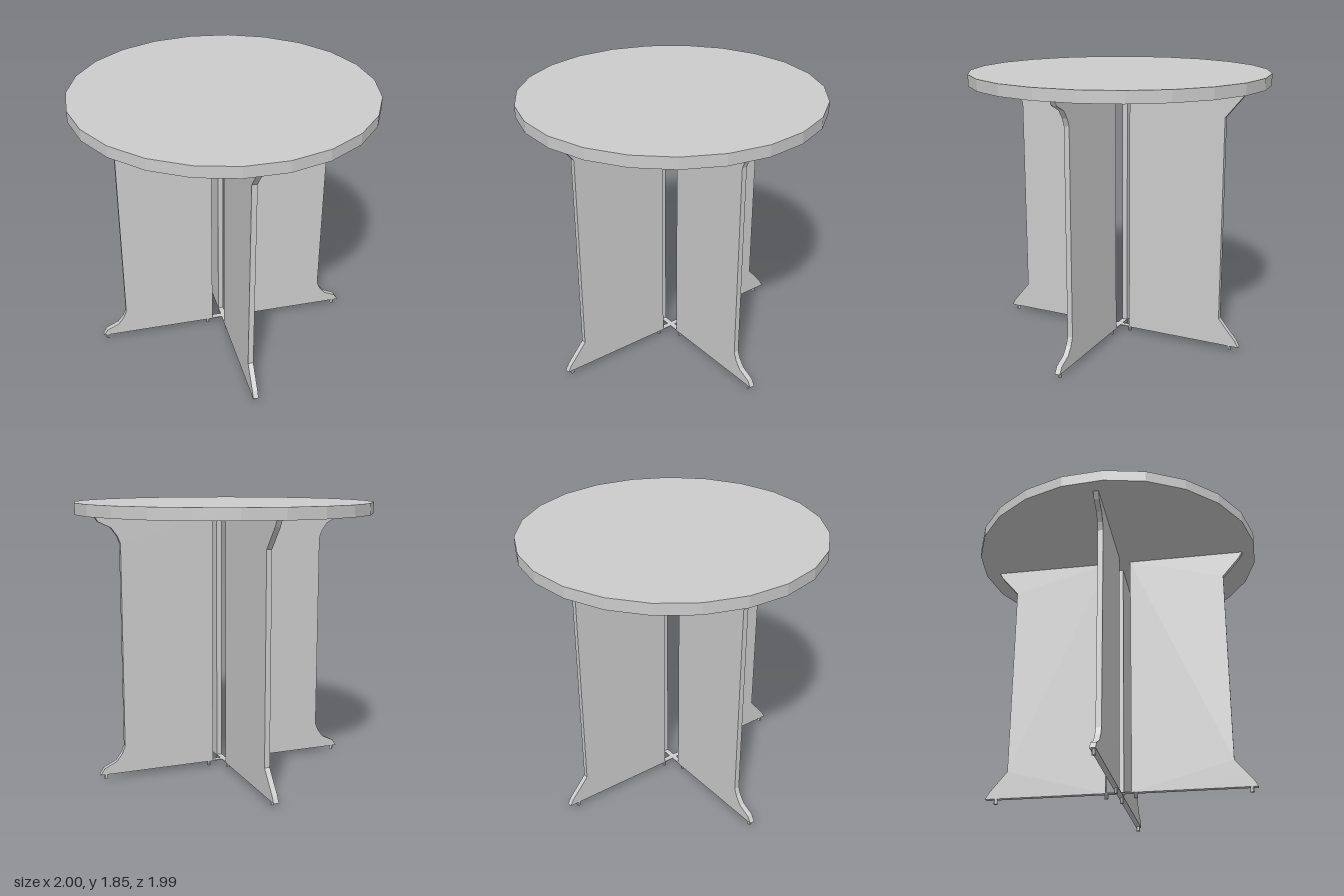
import * as THREE from 'three';

const BASE = 0.033, TOP = 1.775, THICK = 0.036;

// Upright panel: inner edge straight, outer edge flared at floor and top.
function panelGeometry(inner, flare) {
  const upper = flare.map(([r, d]) => [r, TOP - d]);
  const lower = flare.map(([r, d]) => [r, BASE + d]).reverse();
  const outline = [[inner, BASE], ...lower.reverse(), ...upper.reverse(), [inner, TOP]];
  const shape = new THREE.Shape(outline.map(([x, y]) => new THREE.Vector2(x, y)));
  const geo = new THREE.ExtrudeGeometry(shape, { depth: THICK, bevelEnabled: false });
  return geo.translate(0, 0, -THICK / 2);
}

export function createModel() {
  const group = new THREE.Group();
  const mat = new THREE.MeshStandardMaterial({ color: 0xcccccc, flatShading: true });
  const add = (name, geo, x = 0, y = 0, z = 0, turn = 0) => {
    const mesh = new THREE.Mesh(geo, mat);
    mesh.name = name;
    mesh.position.set(x, y, z);
    mesh.rotation.y = turn;
    group.add(mesh);
  };

  // Round faceted top, one corner pointing back
  add('tableTop', new THREE.CylinderGeometry(1, 1, 0.076, 23), 0, TOP + 0.038, 0, Math.PI);

  // Four panels in a cross; flare points are [radius, distance from panel end]
  const sidePanel = panelGeometry(0.088, [[0.895, 0], [0.867, 0.043], [0.783, 0.083], [0.743, 0.136], [0.723, 0.186]]);
  const frontBackPanel = panelGeometry(0.086, [[0.898, 0], [0.873, 0.044], [0.755, 0.185]]);
  const cx = -0.002, cz = 0.005;
  add('leftPanel', sidePanel, cx, 0, cz, 0);
  add('rightPanel', sidePanel, cx, 0, cz, Math.PI);
  add('frontPanel', frontBackPanel, cx, 0, cz, -Math.PI / 2);
  add('backPanel', frontBackPanel, cx, 0, cz, Math.PI / 2);

  // Thin strips joining the panels across the open centre
  add('crossStripX', new THREE.BoxGeometry(0.18, 0.006, THICK), cx, BASE + 0.003, cz);
  add('crossStripZ', new THREE.BoxGeometry(THICK, 0.006, 0.176), cx, BASE + 0.003, cz);

  // Small feet, two under each panel
  const foot = new THREE.CylinderGeometry(0.013, 0.013, BASE, 10);
  for (const x of [-0.867, -0.122, 0.11, 0.853]) add('foot', foot, x, BASE / 2, 0.007);
  for (const z of [0.862, 0.118, -0.078, -0.823]) add('foot', foot, -0.005, BASE / 2, z);

  return group;
}
